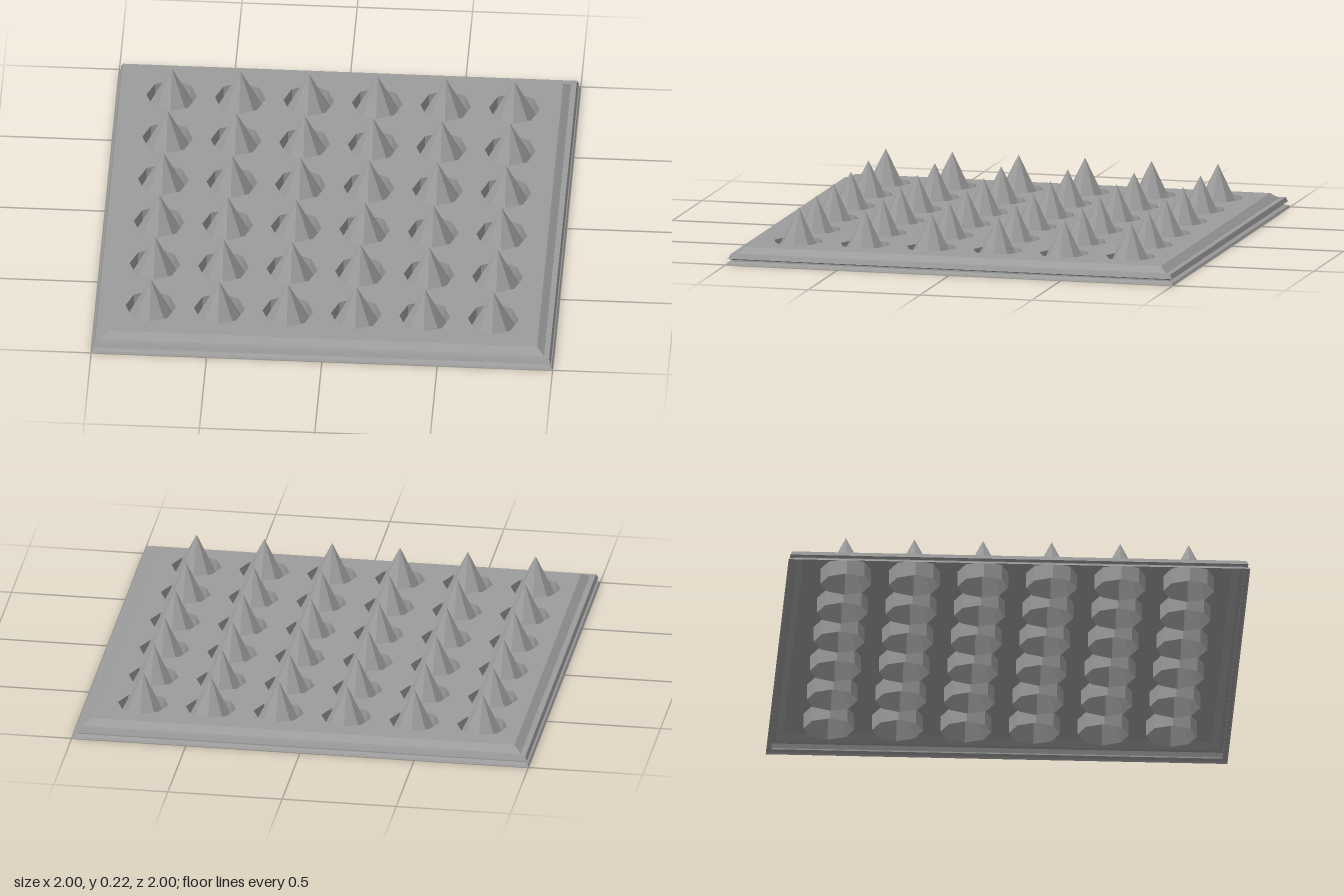
import * as THREE from 'three';

const TOP = 0.07, RADIUS = 0.11, SIDES = 8, PITCH = 0.297, X0 = -0.757, Z0 = -0.74;

// Separate the faces so every facet is flat
function faceted(geometry) {
  const g = geometry.index ? geometry.toNonIndexed() : geometry;
  g.computeVertexNormals();
  return g;
}

export function createModel() {
  const model = new THREE.Group();
  model.name = 'spikeTrap';
  const metal = new THREE.MeshStandardMaterial({ color: 0x9c9c9c, flatShading: true, side: THREE.DoubleSide });
  metal.name = 'greyMetal';

  function add(name, geometry, x = 0, y = 0, z = 0) {
    const mesh = new THREE.Mesh(faceted(geometry), metal);
    mesh.name = name;
    mesh.position.set(x, y, z);
    model.add(mesh);
  }

  // Grid of spike centres
  const centres = [];
  for (let row = 0; row < 6; row++) {
    for (let col = 0; col < 6; col++) centres.push([X0 + col * PITCH, Z0 + row * PITCH]);
  }

  // Square stepped rim, an open shell underneath
  const profile = [
    [1.0, 0], [0.995, 0.008], [0.977, 0.014], [0.977, 0.02],
    [0.992, 0.026], [0.984, 0.045], [0.96, 0.045], [0.928, TOP],
  ].map(([r, y]) => new THREE.Vector2(r * Math.SQRT2, y));
  add('rim', new THREE.LatheGeometry(profile, 4, Math.PI / 4));

  // Top plate with an octagonal hole for each spike
  const e = 0.928;
  const plate = new THREE.Shape([[-e, -e], [e, -e], [e, e], [-e, e]].map(([x, y]) => new THREE.Vector2(x, y)));
  for (const [x, z] of centres) {
    const corners = [];
    for (let i = 0; i < SIDES; i++) {
      const a = -i * Math.PI * 2 / SIDES;
      corners.push(new THREE.Vector2(x + RADIUS * Math.cos(a), -z + RADIUS * Math.sin(a)));
    }
    plate.holes.push(new THREE.Path(corners));
  }
  add('topPlate', new THREE.ShapeGeometry(plate).rotateX(-Math.PI / 2), 0, TOP, 0);

  // Each hollow spike rises from the bottom of its own socket
  const socket = new THREE.CylinderGeometry(RADIUS, RADIUS, TOP, SIDES, 1, true);
  const spike = new THREE.ConeGeometry(RADIUS, 0.22, SIDES, 1, true);
  for (const [x, z] of centres) {
    add('socket', socket, x, TOP / 2, z);
    add('spike', spike, x, 0.11, z);
  }
  return model;
}
